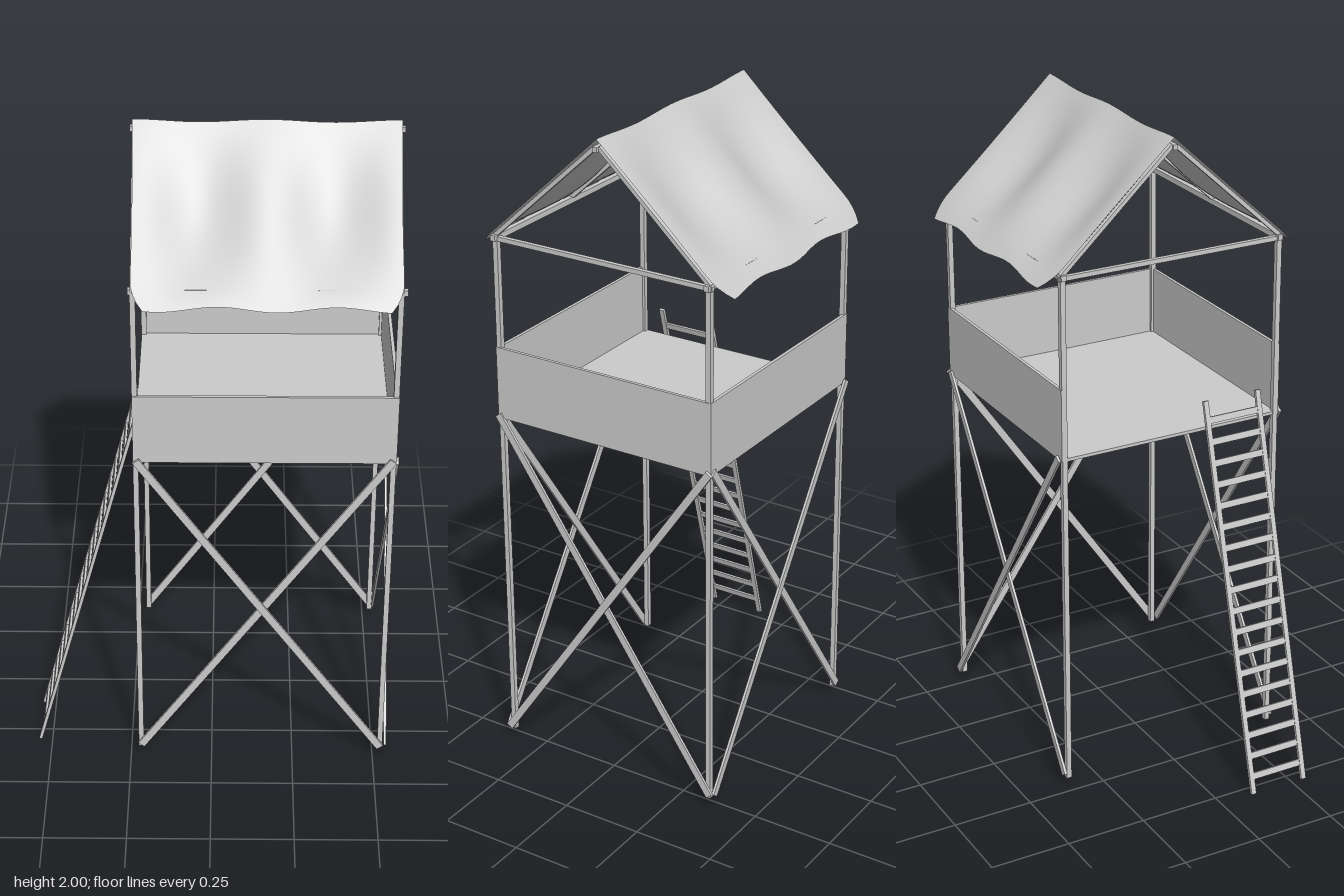
import * as THREE from 'three';

const X0 = -0.218, X1 = 0.522, XM = (X0 + X1) / 2, Z = 0.354;
const mat = new THREE.MeshStandardMaterial({ color: 0xcccccc });
const clothMat = new THREE.MeshStandardMaterial({ color: 0xcccccc, side: THREE.DoubleSide });

// axis-aligned box given by its limits
function slab(name, x0, x1, y0, y1, z0, z1) {
  const m = new THREE.Mesh(new THREE.BoxGeometry(x1 - x0, y1 - y0, z1 - z0), mat);
  m.position.set((x0 + x1) / 2, (y0 + y1) / 2, (z0 + z1) / 2);
  m.name = name;
  return m;
}

// bar from a to b; depth is measured along the given face normal
function bar(name, a, b, width, depth, normal) {
  const A = new THREE.Vector3(...a), B = new THREE.Vector3(...b);
  const dir = B.clone().sub(A), len = dir.length();
  dir.normalize();
  const side = new THREE.Vector3().crossVectors(dir, new THREE.Vector3(...normal)).normalize();
  const n = new THREE.Vector3().crossVectors(side, dir);
  const m = new THREE.Mesh(new THREE.BoxGeometry(width, len, depth), mat);
  m.quaternion.setFromRotationMatrix(new THREE.Matrix4().makeBasis(side, dir, n));
  m.position.copy(A).add(B).multiplyScalar(0.5);
  m.name = name;
  return m;
}

// one slope of the canvas: hangs between rafters, with wavy hem and rounded corners
function canvasSlope(s) {
  const geo = new THREE.PlaneGeometry(1, 1, 48, 24);
  const p = geo.attributes.position;
  for (let i = 0; i < p.count; i++) {
    const u = p.getX(i) + 0.5, v = 0.5 - p.getY(i);
    const panel = Math.sin(u * Math.PI * 2) ** 2;
    const sag = 0.036 * panel * Math.sin(Math.PI * Math.min(1, v * 1.02)) ** 1.2;
    const inset = 0.037 * Math.max(0, (v - 0.84) / 0.16) ** 2;
    const bow = 0.004 * Math.sin(v * Math.PI);
    const x0 = -0.226 + bow + inset, x1 = 0.531 - bow - inset;
    const hem = 1 + 0.014 * Math.sin(u * 13 + 0.8) * v;
    const crest = 0.008 * panel * (1 - v);
    p.setXYZ(i, x0 + (x1 - x0) * u,
      2 - 0.378 * v * hem - sag * 0.74 - crest,
      s * (0.41 * v * hem - sag * 0.67));
  }
  if (s < 0) geo.index.array.reverse();
  geo.computeVertexNormals();
  const m = new THREE.Mesh(geo, clothMat);
  m.name = s > 0 ? 'frontCanvas' : 'backCanvas';
  return m;
}

// two crossed braces on one face; at(t, layer) maps the face to 3D
function crossBrace(name, at, normal) {
  const g = new THREE.Group();
  g.name = name;
  const [lo, hi] = [0.04, 1.1];
  g.add(bar('brace', at(0, lo, 0), at(1, hi, 0), 0.023, 0.008, normal));
  g.add(bar('brace', at(1, lo, 1), at(0, hi, 1), 0.023, 0.008, normal));
  return g;
}

function createLadder() {
  const g = new THREE.Group();
  g.name = 'ladder';
  const xAt = y => -0.538 + y * (0.315 / 1.18);
  const normal = [-1.18, 0.315, 0];
  for (const z of [0.112, 0.29])
    g.add(bar('ladderRail', [xAt(0.002), 0.002, z], [xAt(1.18), 1.18, z], 0.016, 0.01, normal));
  for (let i = 0; i < 18; i++) {
    const y = 0.055 + i * 0.0628;
    g.add(bar('rung', [xAt(y), y, 0.112], [xAt(y), y, 0.29], 0.02, 0.007, normal));
  }
  return g;
}

export function createModel() {
  const tower = new THREE.Group();
  tower.name = 'watchtower';

  // corner posts
  for (const x of [X0, X1]) for (const z of [-Z, Z])
    tower.add(slab('post', x - 0.008, x + 0.008, 0.03, 1.65, z - 0.008, z + 0.008));

  // platform and parapet, open on the ladder side
  tower.add(slab('floor', -0.225, 0.529, 1.088, 1.098, -0.361, 0.361));
  tower.add(slab('frontWall', -0.226, 0.531, 1.09, 1.312, 0.354, 0.364));
  tower.add(slab('backWall', -0.226, 0.531, 1.09, 1.312, -0.364, -0.354));
  tower.add(slab('sideWall', 0.522, 0.532, 1.09, 1.312, -0.355, 0.355));

  // crossed braces on the three sides without the ladder
  for (const s of [1, -1])
    tower.add(crossBrace(s > 0 ? 'frontBraces' : 'backBraces',
      (t, y, k) => [X0 + t * (X1 - X0), y, s * (0.366 + k * 0.006)], [0, 0, s]));
  tower.add(crossBrace('sideBraces',
    (t, y, k) => [0.533 + k * 0.005, y, -0.362 + t * 0.724], [1, 0, 0]));

  // roof frame
  for (const s of [1, -1])
    tower.add(slab('eaveBeam', -0.232, 0.54, 1.64, 1.657, s * Z - 0.008, s * Z + 0.008));
  tower.add(slab('ridgeBeam', -0.232, 0.54, 1.965, 1.98, -0.007, 0.007));
  for (const x of [X0, X1])
    tower.add(slab('tieBeam', x - 0.007, x + 0.007, 1.638, 1.652, -0.365, 0.365));
  for (const x of [X0, XM, X1]) for (const s of [1, -1])
    tower.add(bar('rafter', [x, 1.648, s * 0.362], [x, 1.977, s * 0.004], 0.014, 0.012, [0, 1, s * 0.9]));

  // canvas roof
  tower.add(canvasSlope(1), canvasSlope(-1));

  tower.add(createLadder());
  return tower;
}
